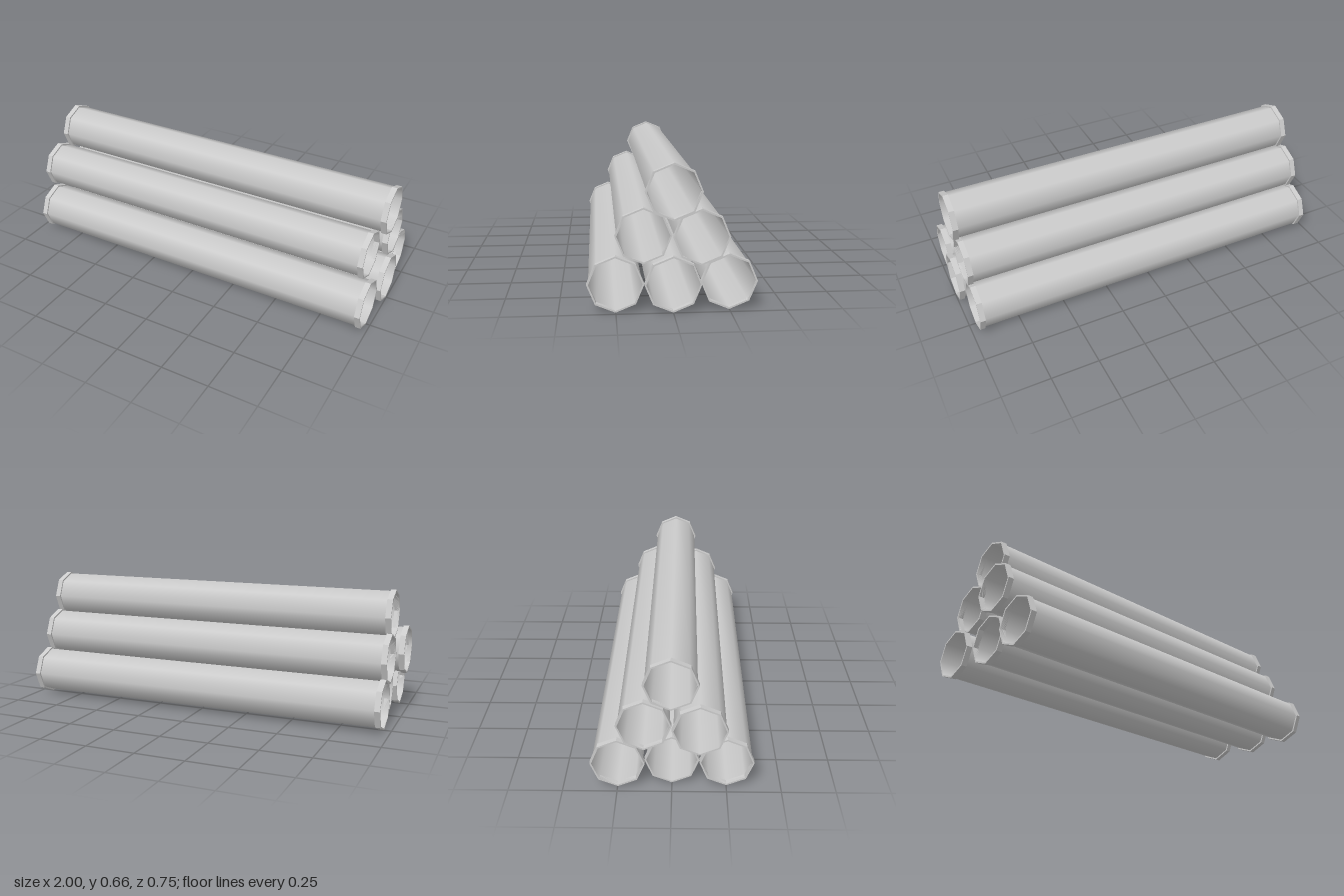
import * as THREE from 'three';
import { toCreasedNormals } from 'three/addons/utils/BufferGeometryUtils.js';

const LENGTH = 1.93, COLLAR = 0.028, OUTER = 0.126, INNER = 0.118, SIDES = 8;

// turns a profile of [radius, distance along the pipe] around the x axis
function turned(points) {
  return new THREE.LatheGeometry(points.map(([r, d]) => new THREE.Vector2(r, d)), SIDES)
    .rotateZ(-Math.PI / 2);
}

export function createModel() {
  const stack = new THREE.Group();
  stack.name = 'pipeStack';

  const grey = new THREE.MeshStandardMaterial({ color: 0xcccccc, side: THREE.DoubleSide });

  // thin, smooth tube wall, open at both ends
  const tubeGeometry = turned([[INNER, -LENGTH / 2], [INNER, LENGTH / 2]]);

  // faceted collar ring with a rectangular section
  const h = COLLAR / 2;
  const collarGeometry = toCreasedNormals(
    turned([[INNER, -h], [OUTER, -h], [OUTER, h], [INNER, h], [INNER, -h]]), 0.5);

  // pyramid of six pipes: [x shift, y, z] of each centre
  const pipes = [
    [0.014, 0.131, 0.251], [0.032, 0.131, 0], [0.001, 0.131, -0.249],
    [-0.036, 0.332, 0.126], [0.002, 0.332, -0.127],
    [0.014, 0.534, -0.004],
  ];

  pipes.forEach(([x, y, z], i) => {
    const pipe = new THREE.Group();
    pipe.name = `pipe${i + 1}`;
    pipe.position.set(x, y, z);

    const tube = new THREE.Mesh(tubeGeometry, grey);
    tube.name = 'tube';
    pipe.add(tube);

    for (const side of [-1, 1]) {
      const collar = new THREE.Mesh(collarGeometry, grey);
      collar.name = side > 0 ? 'leftCollar' : 'rightCollar';
      collar.position.x = side * (LENGTH / 2 - h);
      pipe.add(collar);
    }
    stack.add(pipe);
  });

  return stack;
}
